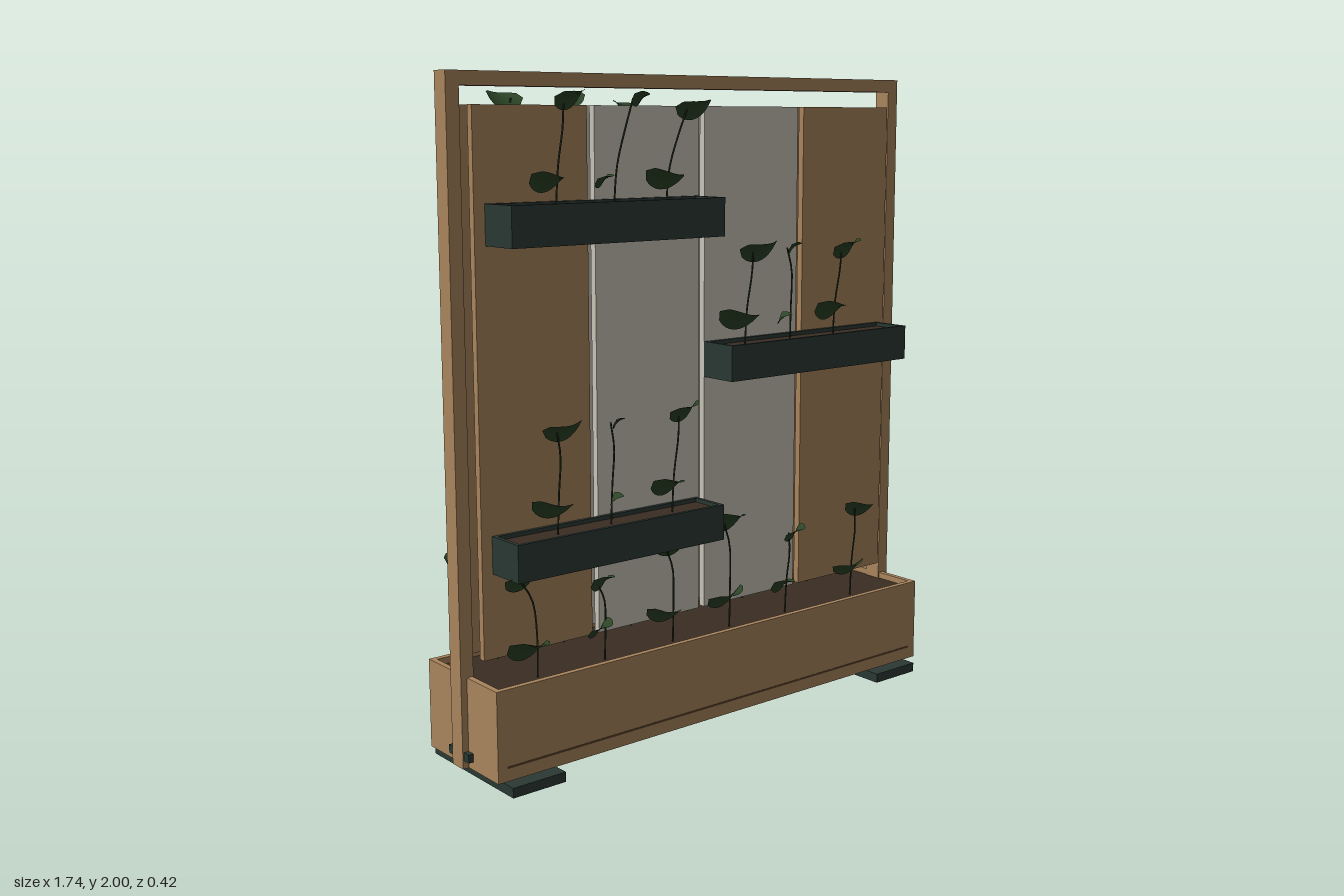
import * as THREE from 'three';

const mat = (color, side = THREE.FrontSide) => {
  const m = new THREE.MeshStandardMaterial({ side });
  m.color.set(color);
  return m;
};
const WOOD = mat(0xa8845c), PALE = mat(0xc6c2b6), METAL = mat(0x2a3833), SOIL = mat(0x3a2d23);
const LEAF = mat(0x2c4527, THREE.DoubleSide), STEM = mat(0x252f1e), GROOVE = mat(0x5a4128);

// Box given by its two extreme corners
function box(parent, name, material, [x0, x1], [y0, y1], [z0, z1]) {
  const mesh = new THREE.Mesh(new THREE.BoxGeometry(x1 - x0, y1 - y0, z1 - z0), material);
  mesh.position.set((x0 + x1) / 2, (y0 + y1) / 2, (z0 + z1) / 2);
  mesh.name = name;
  parent.add(mesh);
  return mesh;
}

// Open trough: four walls, a floor and a bed of soil
function trough(name, material, [x0, x1], [y0, y1], [z0, z1], t, soilDrop) {
  const g = new THREE.Group();
  g.name = name;
  box(g, 'floor', material, [x0 + t, x1 - t], [y0, y0 + t], [z0 + t, z1 - t]);
  box(g, 'outerWall', material, [x0, x1], [y0, y1], [z1 - t, z1]);
  box(g, 'innerWall', material, [x0, x1], [y0, y1], [z0, z0 + t]);
  box(g, 'endWall', material, [x0, x0 + t], [y0, y1], [z0 + t, z1 - t]);
  box(g, 'endWall', material, [x1 - t, x1], [y0, y1], [z0 + t, z1 - t]);
  box(g, 'soil', SOIL, [x0 + t, x1 - t], [y0 + t, y1 - soilDrop], [z0 + t, z1 - t]);
  return g;
}

// Leaf blade: a plane narrowed to rounded tips and cupped along its midrib
function leafGeometry() {
  const geo = new THREE.PlaneGeometry(1, 1, 10, 4);
  const p = geo.attributes.position;
  for (let i = 0; i < p.count; i++) {
    const u = p.getX(i) * 2, v = p.getY(i) * 2;
    const w = Math.sqrt(Math.max(0, 1 - u * u)) * (1 - 0.25 * u) * 0.32;
    p.setXYZ(i, u * 0.5, v * w, 0.1 * v * v * (1 - u * u) - 0.12 * u * u);
  }
  geo.computeVertexNormals();
  return geo;
}
const BLADE = leafGeometry();

function leaf(parent, x, y, z, size, yaw, tilt, roll) {
  const pivot = new THREE.Group();
  pivot.name = 'leaf';
  pivot.position.set(x, y, z);
  pivot.rotation.set(0, yaw, roll);
  const blade = new THREE.Mesh(BLADE, LEAF);
  blade.name = 'leafBlade';
  blade.rotation.x = -tilt;
  blade.scale.set(size, size * 1.05, size);
  // Outer edge of the blade is lifted
  blade.rotation.x = tilt;
  pivot.add(blade);
  parent.add(pivot);
}

// Plant: a thin bent stem with a low leaf and a top leaf
function plant(parent, x, y, z, [lowX, lowY, topX, topY, size, yaw], roll) {
  const g = new THREE.Group();
  g.name = 'plant';
  const dx = topX - x, h = topY - y;
  const curve = new THREE.CatmullRomCurve3([
    new THREE.Vector3(x, y, z),
    new THREE.Vector3(x + dx * 0.1 + 0.008, y + h * 0.4, z - 0.004),
    new THREE.Vector3(x + dx * 0.45 + 0.006, y + h * 0.75, z + 0.004),
    new THREE.Vector3(topX - 0.02, topY, z + 0.015),
  ]);
  const stem = new THREE.Mesh(new THREE.TubeGeometry(curve, 10, 0.0028, 5), STEM);
  stem.name = 'stem';
  g.add(stem);
  leaf(g, lowX, lowY, z + 0.025, size, yaw, 0.95, -roll);
  leaf(g, topX, topY, z + 0.025, size * 0.95, yaw, 0.85, roll);
  parent.add(g);
}

export function createModel() {
  const model = new THREE.Group();
  model.name = 'verticalPlanter';

  // Upright frame
  const frame = new THREE.Group();
  frame.name = 'frame';
  model.add(frame);
  box(frame, 'topRail', WOOD, [-0.87, 0.87], [1.96, 2], [-0.028, 0.028]);
  for (const s of [-1, 1]) {
    const span = (a, b) => (s > 0 ? [a, b] : [-b, -a]);
    box(frame, 'post', WOOD, span(0.828, 0.87), [0.04, 1.96], [-0.028, 0.028]);
    box(frame, 'postBracket', METAL, span(0.848, 0.866), [0.065, 0.09], [-0.053, 0.053]);
    box(model, 'foot', METAL, span(0.64, 0.82), [0, 0.03], [-0.21, 0.21]);
    box(model, 'footSpacer', METAL, span(0.67, 0.79), [0.03, 0.042], [-0.15, 0.15]);
  }

  // Base trough with a groove along both long sides
  model.add(trough('baseTrough', WOOD, [-0.85, 0.85], [0.04, 0.31], [-0.182, 0.182], 0.018, 0.02));
  for (const s of [-1, 1])
    box(model, 'groove', GROOVE, [-0.82, 0.82], [0.078, 0.084], [s * 0.182 - 0.001, s * 0.182 + 0.001]);

  // Plants as [lowX, lowY, topX, topY, size, yaw], heights above the trough rim
  const shelves = [
    { x: [-0.77, -0.02], y: [1.53, 1.645], stems: [-0.58, -0.38, -0.19], plants: [
      [-0.62, 0.06, -0.54, 0.285, 0.12, 0.2], [-0.43, 0.06, -0.3, 0.285, 0.085, 0.6], [-0.21, 0.06, -0.1, 0.26, 0.125, -0.2]] },
    { x: [0.01, 0.77], y: [1.09, 1.2], stems: [0.12, 0.31, 0.5], plants: [
      [0.08, 0.075, 0.16, 0.28, 0.14, -0.2], [0.26, 0.065, 0.3, 0.28, 0.08, 0.8], [0.47, 0.075, 0.54, 0.27, 0.135, 0.2]] },
    { x: [-0.77, -0.02], y: [0.605, 0.715], stems: [-0.59, -0.4, -0.17], plants: [
      [-0.62, 0.075, -0.58, 0.295, 0.13, -0.2], [-0.4, 0.07, -0.39, 0.295, 0.07, 0.9], [-0.2, 0.08, -0.135, 0.3, 0.13, 0.2]] },
  ];
  const baseStems = [-0.66, -0.42, -0.16, 0.07, 0.31, 0.61];
  const basePlants = [
    [-0.7, 0.08, -0.71, 0.29, 0.15, 0.2], [-0.45, 0.09, -0.44, 0.23, 0.11, 0.5], [-0.21, 0.085, -0.18, 0.29, 0.12, -0.2],
    [0.04, 0.09, 0.05, 0.335, 0.145, 0.1], [0.28, 0.085, 0.33, 0.25, 0.11, 0.4], [0.58, 0.09, 0.63, 0.285, 0.12, -0.2]];
  const panels = [[-0.805, -0.425], [-0.4, -0.012], [0.01, 0.395], [0.42, 0.8]];

  // The two faces mirror each other in depth
  for (const s of [1, -1]) {
    const face = new THREE.Group();
    face.name = s > 0 ? 'frontFace' : 'backFace';
    face.rotation.y = s > 0 ? 0 : Math.PI;
    model.add(face);
    // The back face is turned round, so its x values change sign
    const span = ([a, b]) => (s > 0 ? [a, b] : [-b, -a]);
    const shift = s > 0 ? 0 : -0.04;
    const sow = (stems, plants, rim, z) => stems.forEach((x, i) => {
      const [lx, ly, tx, ty, size, yaw] = plants[i];
      plant(face, s * x, rim - 0.025, z,
        [s * (lx + shift / 2), rim + ly, s * (tx + shift), rim + ty, size, s * yaw], i % 2 ? -0.12 : 0.15);
    });

    panels.forEach((p, i) =>
      box(face, 'panel', i === 0 || i === 3 ? WOOD : PALE, span(p), [0.355, 1.91], [0.029, 0.051]));

    for (const { x, y, stems, plants } of shelves) {
      face.add(trough('shelfTrough', METAL, span(x), y, [0.051, 0.182], 0.012, 0.012));
      sow(stems, plants, y[1], 0.115);
    }
    sow(baseStems, basePlants, 0.31, 0.105);
  }
  return model;
}
